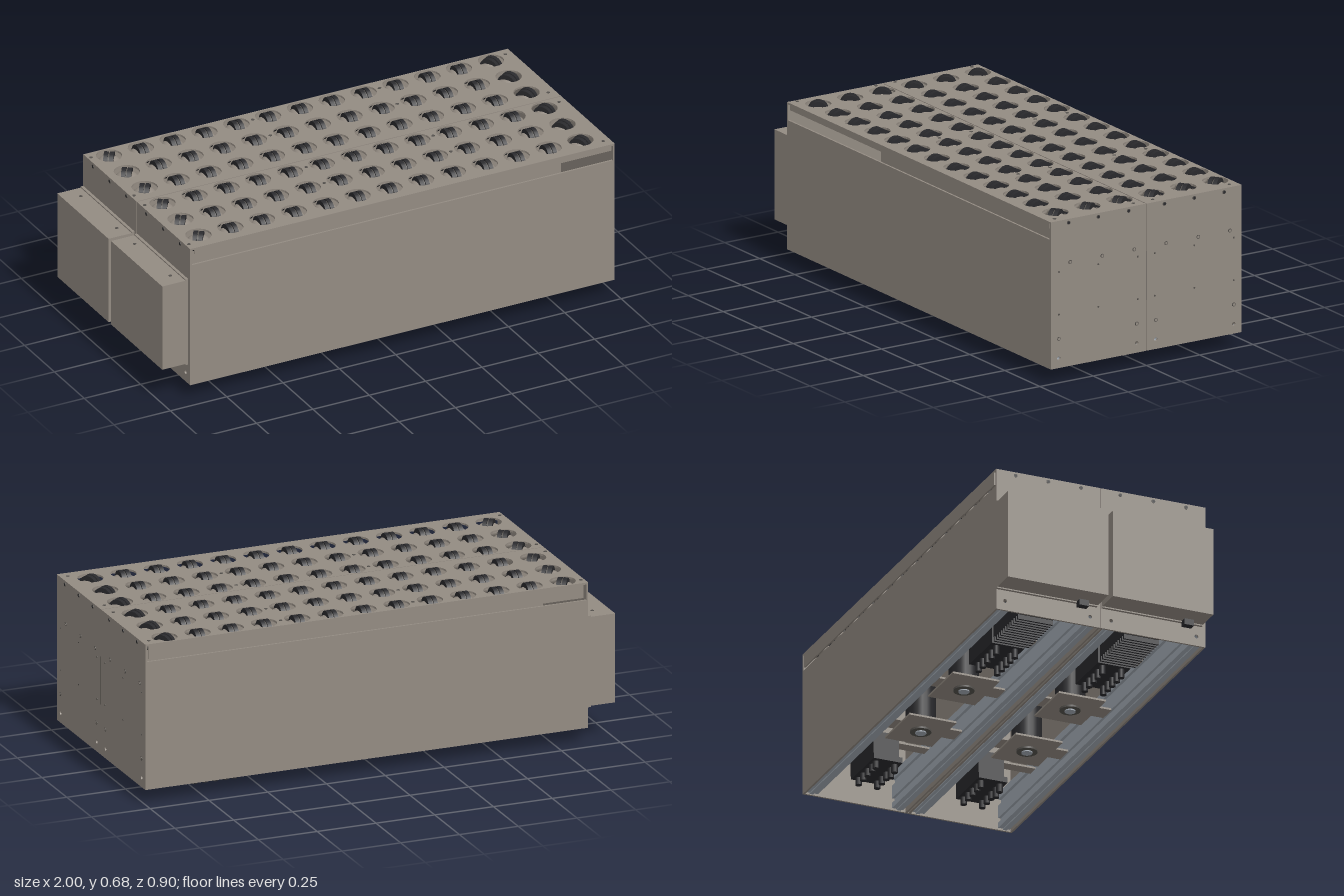
import * as THREE from 'three';

const mat = (name, color) => Object.assign(new THREE.MeshStandardMaterial({ color }), { name });

export function createModel() {
  const root = new THREE.Group();
  root.name = 'rollerSorter';
  const sheet = mat('sheetMetal', 0x938b82);
  const black = mat('blackPlastic', 0x29292c);
  const alu = mat('aluminium', 0xa3abb4);
  const steel = mat('darkSteel', 0x55524e);

  const add = (name, geo, m, x = 0, y = 0, z = 0, parent = root) => {
    const mesh = new THREE.Mesh(geo, m);
    mesh.name = name;
    mesh.position.set(x, y, z);
    parent.add(mesh);
    return mesh;
  };
  // box given by its limits
  const box = (name, m, x0, x1, y0, y1, z0, z1, parent = root) =>
    add(name, new THREE.BoxGeometry(x1 - x0, y1 - y0, z1 - z0), m,
      (x0 + x1) / 2, (y0 + y1) / 2, (z0 + z1) / 2, parent);
  const rect = (x0, x1, y0, y1) => new THREE.Shape([
    new THREE.Vector2(x0, y0), new THREE.Vector2(x1, y0),
    new THREE.Vector2(x1, y1), new THREE.Vector2(x0, y1)]);
  const punch = (shape, x, y, r) =>
    shape.holes.push(new THREE.Path().absarc(x, y, r, 0, Math.PI * 2, true));
  const extrude = (shape, depth, seg = 10) =>
    new THREE.ExtrudeGeometry(shape, { depth, bevelEnabled: false, curveSegments: seg });

  const X0 = -0.885, X1 = 1.0, BOT = 0.06, TOP = 0.665, W = 0.448;
  const cols = Array.from({ length: 13 }, (_, i) => -0.8 + i * 0.1412);
  const rows = [0.357, 0.207, 0.057, -0.093, -0.243, -0.392];

  // top decks with round openings
  for (const [z0, z1] of [[-W, -0.002], [0.002, W]]) {
    const s = rect(X0 + 0.008, X1 - 0.006, -z1, -z0);
    for (const z of rows) if (z > z0 && z < z1) for (const x of cols) punch(s, x, -z, 0.052);
    add('topDeck', extrude(s, 0.008, 9).rotateX(-Math.PI / 2), sheet, 0, TOP - 0.008, 0);
  }
  box('frontLip', sheet, X0 + 0.02, X1 - 0.015, 0.637, TOP, W - 0.006, W);
  box('backLip', sheet, X0 + 0.02, X1 - 0.015, 0.603, TOP, -W, -W + 0.006);
  box('deckSeam', steel, X0 + 0.01, X1 - 0.01, TOP - 0.012, TOP - 0.004, -0.003, 0.003);

  // side walls and the two middle walls
  for (const z of [W - 0.004, 0.007, -0.007, -W + 0.004])
    box('sideWall', sheet, X0 + 0.008, X1 - 0.006, BOT, 0.592, z - 0.004, z + 0.004);

  // end plates, open at the lower rail bores
  const bores = [0.41, 0.045, -0.045, -0.41];
  for (const x of [X0, X1 - 0.009]) for (const [z0, z1] of [[-W, -0.001], [0.001, W]]) {
    const s = rect(-z1, -z0, BOT, TOP);
    for (const z of bores) if (z > z0 && z < z1) punch(s, -z, 0.1, 0.008);
    add('endPlate', extrude(s, 0.008, 8).rotateY(Math.PI / 2), sheet, x, 0, 0);
  }

  // end plate fasteners
  const boltGeo = new THREE.CylinderGeometry(0.008, 0.008, 0.004, 12).rotateZ(Math.PI / 2);
  const headGeo = new THREE.CylinderGeometry(0.0055, 0.0055, 0.005, 12).rotateZ(Math.PI / 2);
  const dotGeo = new THREE.CylinderGeometry(0.004, 0.004, 0.003, 8).rotateZ(Math.PI / 2);
  for (const x of [X1 - 0.001, X0]) {
    const bolt = (y, z, inner) => {
      add('boltRim', boltGeo, steel, x, y, z);
      add('boltHead', headGeo, inner, x, y, z);
    };
    rows.forEach(z => bolt(0.487, z, sheet));
    for (const z of [0.365, 0.225, 0.083, -0.085, -0.225, -0.365]) bolt(0.65, z, black);
    bores.forEach(z => bolt(0.18, z, sheet));
    for (const y of [0.28, 0.455]) for (const z of [0.41, 0.225, 0.04, -0.04, -0.225, -0.41])
      add('rivet', dotGeo, steel, x, y, z);
  }
  box('endSeam', steel, X1 - 0.002, X1, 0.27, 0.47, -0.0015, 0.0015);

  // deck screws
  const deckDot = new THREE.CylinderGeometry(0.007, 0.007, 0.003, 10);
  for (const x of [-0.87, 0.968]) for (const z of [-0.41, -0.05, 0.04, 0.41])
    add('deckScrew', deckDot, steel, x, TOP, z);
  for (const x of [-0.163, 0.4]) for (const z of [-0.392, -0.243, 0.057, 0.207])
    add('deckScrew', deckDot, steel, x, TOP, z);

  // swivel rollers: round hub with a pair of black tyres, end columns turned
  const hubGeo = new THREE.SphereGeometry(0.047, 18, 10).scale(1, 0.6, 1);
  const tyreGeo = new THREE.CylinderGeometry(0.041, 0.041, 0.017, 20).rotateZ(Math.PI / 2);
  const coreGeo = new THREE.CylinderGeometry(0.036, 0.036, 0.008, 16).rotateZ(Math.PI / 2);
  cols.forEach((x, i) => rows.forEach(z => {
    const roller = new THREE.Group();
    roller.name = 'swivelRoller';
    roller.position.set(x, 0.637, z);
    roller.rotation.y = i === 0 ? -0.6 : i === 12 ? 0.6 : 0;
    add('hub', hubGeo, sheet, 0, -0.004, 0, roller);
    for (const s of [-1, 1]) add('tyre', tyreGeo, black, s * 0.0115, 0, 0, roller);
    add('wheelCore', coreGeo, steel, 0, 0, 0, roller);
    root.add(roller);
  }));
  // row shafts
  for (const z of rows)
    add('rowShaft', new THREE.CylinderGeometry(0.007, 0.007, 1.85, 6).rotateZ(Math.PI / 2),
      steel, 0.057, 0.628, z);

  // hollow frame rails with a slot on the inner side
  const railShape = dir => {
    const s = new THREE.Shape([[-0.024, 0.068], [0.024, 0.068], [0.024, 0.09], [0.014, 0.09],
      [0.014, 0.11], [0.024, 0.11], [0.024, 0.165], [0.012, 0.165], [0.012, 0.19],
      [0.024, 0.19], [0.024, 0.22], [-0.024, 0.22]].map(([u, v]) => new THREE.Vector2(u * dir, v)));
    punch(s, 0, 0.1, 0.0085);
    return s;
  };
  bores.forEach((z, i) => {
    const dir = i % 2 ? -1 : 1;
    add('frameRail', extrude(railShape(dir), X1 - X0 - 0.02, 8).rotateY(Math.PI / 2),
      alu, X0 + 0.009, 0, z);
    // narrow foot strip under each rail
    box('railFoot', alu, X0 + 0.01, X1 - 0.01, 0.063, 0.069, z + dir * 0.004 - 0.008, z + dir * 0.004 + 0.008);
  });

  // underside equipment, the same in both modules
  const discGeo = new THREE.CylinderGeometry(0.042, 0.042, 0.012, 24);
  const hubDisc = new THREE.CylinderGeometry(0.022, 0.022, 0.018, 16);
  for (const zc of [0.2275, -0.2275]) {
    const zb = zc > 0 ? 0.167 : -0.283;

    // drive mounting plates with bearings
    for (const x of [0.35, -0.07]) {
      box('drivePlate', sheet, x - 0.12, x + 0.12, 0.1, 0.108, zc - 0.1, zc + 0.1);
      box('plateStrap', sheet, x - 0.04, x + 0.04, 0.108, 0.116, zc - 0.16, zc + 0.16);
      add('bearingRing', discGeo, steel, x, 0.098, zc);
      add('bearingCap', hubDisc, alu, x, 0.096, zc);
      add('driveMotor', new THREE.CylinderGeometry(0.06, 0.06, 0.2, 20), black, x, 0.21, zc);
    }

    // lower connector block with pins reaching below the body
    box('connectorBase', black, 0.54, 0.76, 0.042, 0.065, zb - 0.062, zb + 0.062);
    box('connectorBody', black, 0.56, 0.78, 0.065, 0.17, zb - 0.055, zb + 0.055);
    for (const x of [0.57, 0.605, 0.65, 0.693, 0.738]) {
      const low = x < 0.62;
      const pin = (z, y) => add('connectorPin',
        new THREE.CylinderGeometry(0.013, 0.013, 0.05 - y, 12), black, x, (0.05 + y) / 2, z);
      pin(zb - 0.04, 0.012);
      pin(zb + 0.04, low ? (x < 0.59 ? 0.008 : 0) : 0.012);
    }
    box('connectorBracket', sheet, 0.63, 0.68, 0.17, 0.178, zc - 0.16, zc + 0.16);

    // second connector, kept inside the body
    box('innerConnector', black, -0.5, -0.28, 0.105, 0.19, zc - 0.07, zc + 0.07);
    for (let i = 0; i < 5; i++) for (const s of [-1, 1])
      add('innerPin', new THREE.CylinderGeometry(0.013, 0.013, 0.04, 10), black,
        -0.475 + i * 0.043, 0.088, zc + s * 0.04);
    box('innerBracket', sheet, -0.42, -0.36, 0.19, 0.198, zc - 0.16, zc + 0.16);

    // ribbed power unit
    box('powerUnit', black, -0.77, -0.53, 0.115, 0.22, zc - 0.075, zc + 0.075);
    for (let i = 0; i < 12; i++)
      box('coolingRib', black, -0.765 + i * 0.0205, -0.757 + i * 0.0205, 0.095, 0.115, zc - 0.075, zc + 0.075);
    box('powerBracket', sheet, -0.68, -0.62, 0.22, 0.228, zc - 0.16, zc + 0.16);
  }

  // control boxes on the end
  for (const [z0, z1] of [[-W, -0.018], [0.002, 0.432]]) {
    box('controlBox', sheet, -1, X0 - 0.008, 0.15, 0.52, z0, z1);
    box('controlBoxFlange', sheet, X0 - 0.012, X0, 0.145, 0.525, z0, z1);
    box('cableGland', black, -0.925, -0.895, 0.125, 0.15, z1 - 0.09, z1 - 0.05);
    for (const z of [z0 + 0.065, z1 - 0.065])
      add('boxScrew', deckDot, steel, -0.93, 0.52, z);
  }
  return root;
}
